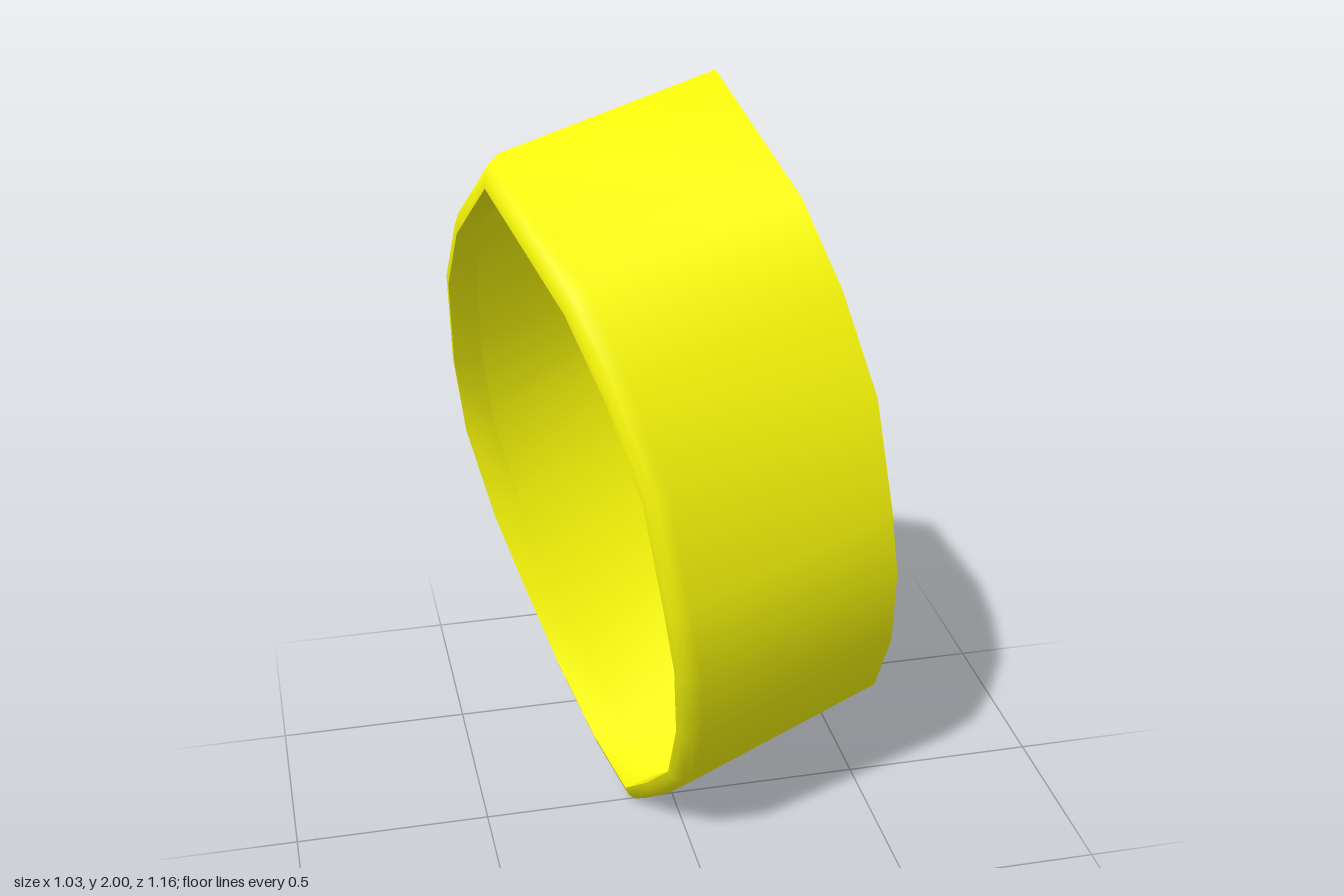
import * as THREE from 'three';

// Pointed-oval outline of the closed end, running from the upper tip round the back
const OUTLINE = [
  [0.1, 2.0, 0.01], [0.053, 1.81, -0.205], [0.047, 1.6, -0.395], [0.065, 1.32, -0.505],
  [0.1, 1.07, -0.58], [0.165, 0.81, -0.57], [0.235, 0.6, -0.525], [0.315, 0.375, -0.44],
  [0.39, 0.21, -0.29], [0.457, 0.1, -0.175], [0.487, 0.22, -0.02], [0.517, 0.35, 0.12],
  [0.505, 0.58, 0.27], [0.48, 0.82, 0.36], [0.445, 1.02, 0.4], [0.395, 1.32, 0.4],
  [0.32, 1.57, 0.34], [0.24, 1.77, 0.265],
].map((p) => new THREE.Vector3(...p));
const CENTER = new THREE.Vector3(0.277, 1.05, -0.085);
// Direction from the closed end to the open rim, and length of the straight wall
const AXIS = new THREE.Vector3(-0.53, -0.1, 0.182).normalize();
const BODY = 0.57;

// Lofts the outline through [scale, distance along axis] stations; scale 0 is the middle
function loft(name, stations, material) {
  const n = OUTLINE.length, positions = [], index = [];
  for (const [scale, depth] of stations) {
    for (const p of OUTLINE) {
      const v = p.clone().sub(CENTER).multiplyScalar(scale).add(CENTER);
      positions.push(...v.addScaledVector(AXIS, depth).toArray());
    }
  }
  for (let k = 0; k < stations.length - 1; k++) {
    for (let i = 0; i < n; i++) {
      const j = (i + 1) % n, a = k * n, b = a + n;
      if (stations[k][0] > 0) index.push(a + i, a + j, b + j);
      index.push(a + i, b + j, b + i);
    }
  }
  const geometry = new THREE.BufferGeometry();
  geometry.setAttribute('position', new THREE.Float32BufferAttribute(positions, 3));
  geometry.setIndex(index);
  geometry.computeVertexNormals();
  const mesh = new THREE.Mesh(geometry, material);
  mesh.name = name;
  return mesh;
}

export function createModel() {
  const group = new THREE.Group();
  group.name = 'pointedOvalCup';
  const yellow = new THREE.MeshStandardMaterial({ color: 0xffff0a, side: THREE.DoubleSide });

  // Flat closed end
  group.add(loft('closedEnd', [[0, 0], [1, 0]], yellow));

  // Thin side wall with its rounded rim
  group.add(loft('sideWall', [
    [1, 0], [1, BODY], [0.985, BODY + 0.028], [0.96, BODY + 0.045], [0.93, BODY + 0.05],
  ], yellow));

  // Short lip turned back into the hollow
  group.add(loft('innerLip', [[0.93, BODY + 0.05], [0.935, BODY - 0.03]], yellow));

  return group;
}
